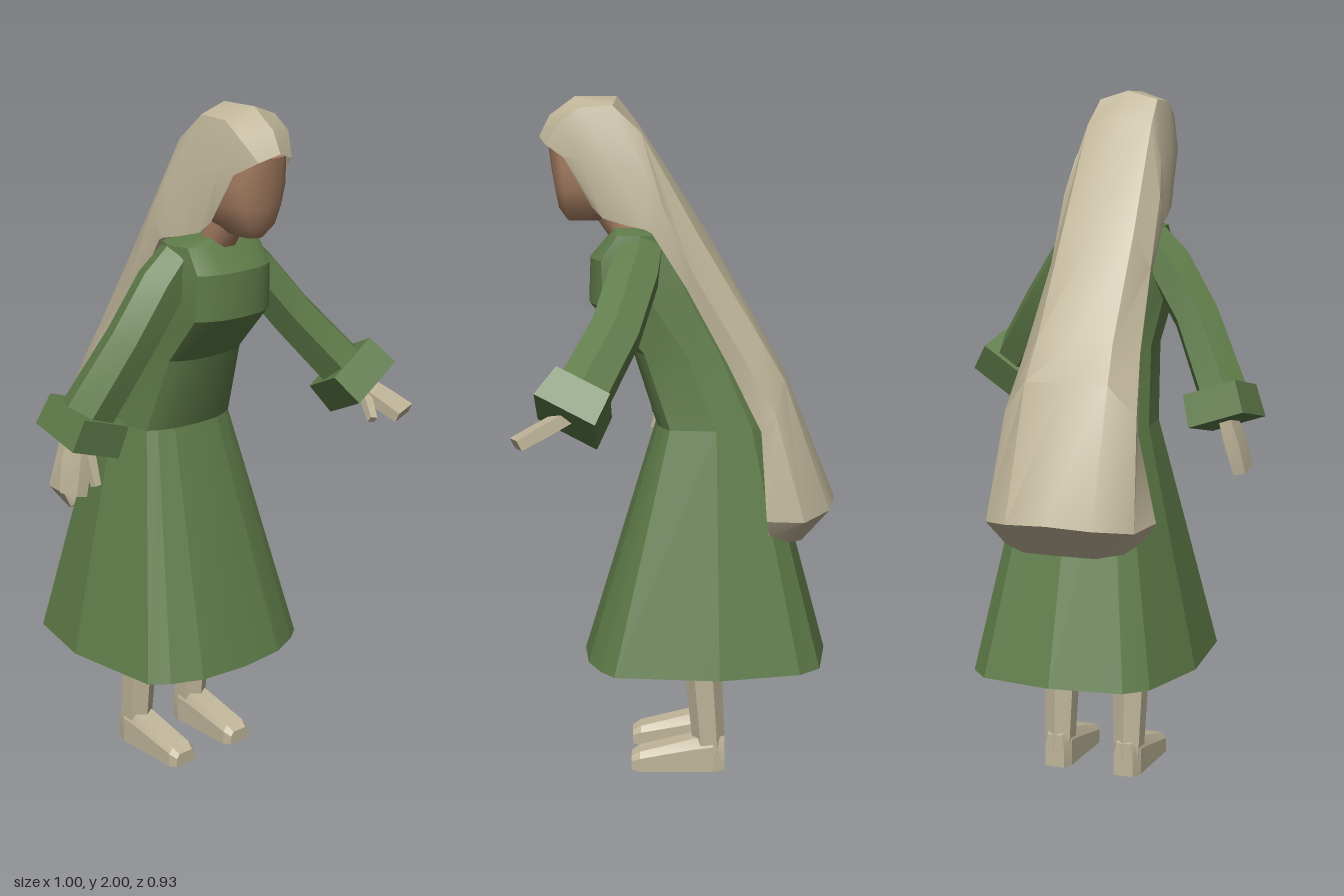
import * as THREE from 'three';
import { toCreasedNormals } from 'three/addons/utils/BufferGeometryUtils.js';

const CX = -0.03; // the body's middle plane
const V = (x, y, z) => new THREE.Vector3(x, y, z);

const mat = (name, color) => {
  const m = new THREE.MeshStandardMaterial({ color, side: THREE.DoubleSide });
  m.name = name;
  return m;
};

// Skin a list of rings (equal point counts); closed rings run counter-clockwise about the path.
function loft(rings, { closed = true, caps = [false, false], crease = 0.35 } = {}) {
  const pos = [];
  const tri = (...ps) => ps.forEach((p) => pos.push(p.x, p.y, p.z));
  const n = rings[0].length;
  for (let i = 0; i < rings.length - 1; i++) {
    for (let j = 0; j < (closed ? n : n - 1); j++) {
      const k = (j + 1) % n;
      const a = rings[i][j], b = rings[i][k], c = rings[i + 1][k], d = rings[i + 1][j];
      tri(a, b, c);
      tri(a, c, d);
    }
  }
  caps.forEach((on, end) => {
    if (!on) return;
    const r = rings[end ? rings.length - 1 : 0];
    const mid = r.reduce((s, p) => s.add(p), V(0, 0, 0)).divideScalar(n);
    r.forEach((p, j) => {
      const q = r[(j + 1) % n];
      if (end) tri(mid, p, q);
      else tri(mid, q, p);
    });
  });
  const g = new THREE.BufferGeometry();
  g.setAttribute('position', new THREE.Float32BufferAttribute(pos, 3));
  return toCreasedNormals(g, crease);
}

// Horizontal body outline: half width w, front zf, back zb.
const OUTLINE = [[0, 1], [0.46, 0.98], [0.74, 0.925], [0.9, 0.87], [1, 0.45], [0.83, 0.125], [0.65, 0.04], [0, 0]];
function bodyRing([y, w, zf, zb]) {
  const p = ([fx, fz], s) => V(CX + s * fx * w, y, zb + fz * (zf - zb));
  return [...OUTLINE.map((o) => p(o, 1)), ...OUTLINE.slice(1, -1).reverse().map((o) => p(o, -1))];
}

// Faceted limb: each station is [x, y, z, radius along hint, other radius].
function limb(stations, hint, sides = 6, crease = 0.35) {
  const pts = stations.map((s) => V(s[0], s[1], s[2]));
  const rings = stations.map((s, i) => {
    const t = pts[Math.min(i + 1, pts.length - 1)].clone().sub(pts[Math.max(i - 1, 0)]).normalize();
    const u = hint.clone().addScaledVector(t, -hint.dot(t)).normalize();
    const v = t.clone().cross(u);
    return Array.from({ length: sides }, (_, k) => {
      const a = ((k + 0.5) / sides) * Math.PI * 2;
      return pts[i].clone().addScaledVector(u, Math.cos(a) * s[3]).addScaledVector(v, Math.sin(a) * s[4]);
    });
  });
  return loft(rings, { caps: [true, true], crease });
}

export function createModel() {
  const root = new THREE.Group();
  root.name = 'robedWoman';
  const green = mat('green cloth', 0x5f7c49);
  const cream = mat('cream', 0xbfb599);
  const skin = mat('face skin', 0xa67e62);
  const add = (name, geo, material) => {
    const m = new THREE.Mesh(geo, material);
    m.name = name;
    root.add(m);
  };

  // Dress: open flared skirt, then the forward-leaning bodice
  add('skirt', loft([[0.345, 0.325, 0.285, -0.44], [1.05, 0.175, 0.07, -0.25]].map(bodyRing), { crease: 0.2 }), green);
  add('bodice', loft([
    [1.05, 0.175, 0.07, -0.25],
    [1.27, 0.15, 0.14, -0.15],
    [1.41, 0.155, 0.265, -0.08],
    [1.54, 0.15, 0.26, -0.01],
    [1.61, 0.145, 0.2, 0.04],
    [1.625, 0.08, 0.19, 0.07],
  ].map(bodyRing), { caps: [false, true] }), green);

  // Head and neck
  add('neck', limb([[CX, 1.57, 0.13, 0.05, 0.05], [CX, 1.72, 0.23, 0.05, 0.05]], V(1, 0, 0), 8, 0.9), skin);
  add('head', loft([
    [1.645, 0.03, 0.325, 0.22],
    [1.68, 0.065, 0.35, 0.16],
    [1.73, 0.085, 0.36, 0.13],
    [1.79, 0.095, 0.37, 0.11],
    [1.87, 0.085, 0.38, 0.12],
  ].map(bodyRing), { caps: [true, true], crease: 0.8 }), skin);

  // Long veil: arches from the face opening over the crown and down the back.
  // Each arch lists half of its points, from the lower front edge to the middle.
  const arches = [
    [[0.11, 1.69, 0.25], [0.1, 1.83, 0.33], [0.06, 1.865, 0.385], [0, 1.885, 0.405]],
    [[0.125, 1.66, 0.22], [0.12, 1.83, 0.29], [0.09, 1.93, 0.34], [0, 1.945, 0.375]],
    [[0.14, 1.64, 0.15], [0.13, 1.82, 0.2], [0.09, 1.97, 0.285], [0, 2, 0.3]],
    [[0.15, 1.63, 0.1], [0.135, 1.8, 0.1], [0.09, 1.975, 0.19], [0, 2, 0.18]],
    [[0.15, 1.62, 0.08], [0.15, 1.7, 0.05], [0.1, 1.9, 0.11], [0, 1.925, 0.12]],
    [[0.145, 1.46, -0.02], [0.155, 1.5, -0.04], [0.11, 1.6, -0.06], [0, 1.61, -0.08]],
    [[0.16, 1.24, -0.14], [0.175, 1.27, -0.18], [0.115, 1.3, -0.24], [0, 1.3, -0.255]],
    [[0.19, 1.05, -0.235], [0.2, 1.1, -0.275], [0.125, 1.19, -0.305], [0, 1.19, -0.315]],
    [[0.25, 0.8, -0.25], [0.225, 0.79, -0.36], [0.13, 0.805, -0.44], [0, 0.815, -0.465]],
    [[0.22, 0.75, -0.26], [0.18, 0.72, -0.32], [0.11, 0.71, -0.36], [0, 0.71, -0.365]],
    [[0.15, 0.76, -0.24], [0.13, 0.74, -0.26], [0.08, 0.74, -0.28], [0, 0.74, -0.28]],
  ].map((half) => [
    ...half.map(([x, y, z]) => V(CX - x, y, z)),
    ...half.slice(0, -1).reverse().map(([x, y, z]) => V(CX + x, y, z)),
  ]);
  add('veil', loft(arches, { closed: false, crease: 0.6 }), cream);

  // Arms: sleeve, square turned-back cuff, flat hand and thumb
  const Z = V(0, 0, 1);
  add('leftSleeve', limb([
    [0.07, 1.575, 0.11, 0.07, 0.055], [0.13, 1.5, 0.13, 0.08, 0.07],
    [0.24, 1.355, 0.18, 0.08, 0.07], [0.37, 1.18, 0.28, 0.085, 0.075],
  ], Z), green);
  add('leftCuff', limb([[0.355, 1.205, 0.265, 0.12, 0.12], [0.405, 1.13, 0.315, 0.135, 0.125]], Z, 4), green);
  add('leftHand', limb([
    [0.385, 1.15, 0.3, 0.045, 0.025], [0.415, 1.11, 0.38, 0.055, 0.025], [0.44, 1.075, 0.45, 0.06, 0.022],
  ], V(1, 0.1, -0.3), 4), cream);
  add('leftThumb', limb([[0.37, 1.12, 0.36, 0.02, 0.02], [0.335, 1.07, 0.425, 0.015, 0.015]], V(1, 0, 0), 4), cream);

  add('rightSleeve', limb([
    [-0.13, 1.575, 0.11, 0.07, 0.055], [-0.19, 1.5, 0.1, 0.08, 0.07],
    [-0.285, 1.35, 0.08, 0.08, 0.07], [-0.39, 1.14, 0.01, 0.085, 0.075],
  ], Z), green);
  add('rightCuff', limb([[-0.38, 1.15, 0.01, 0.125, 0.115], [-0.41, 1.06, -0.01, 0.135, 0.12]], Z, 4), green);
  add('rightHand', limb([
    [-0.405, 1.08, 0, 0.045, 0.025], [-0.43, 1, 0.01, 0.06, 0.03], [-0.45, 0.915, 0.02, 0.055, 0.025],
  ], Z, 4), cream);
  add('rightThumb', limb([[-0.415, 1.03, 0.05, 0.02, 0.02], [-0.415, 0.95, 0.08, 0.015, 0.015]], Z, 4), cream);

  // Legs and feet
  for (const [side, s] of [['left', 1], ['right', -1]]) {
    const x = CX + s * 0.11;
    add(side + 'Leg', limb([
      [x, 0.85, -0.04, 0.07, 0.07], [x, 0.34, -0.068, 0.055, 0.056], [x, 0.05, -0.09, 0.045, 0.048],
    ], V(1, 0, 0)), cream);
    // foot sections along z: z, half width, bottom, top
    const sections = [[-0.135, 0.03, 0, 0.1], [-0.1, 0.043, 0, 0.11], [-0.04, 0.043, 0, 0.1], [0.12, 0.045, 0, 0.06], [0.145, 0.035, 0.005, 0.045]];
    add(side + 'Foot', loft(sections.map(([z, w, b, t]) => [
      V(x - w, b, z), V(x + w, b, z), V(x + w, t * 0.7, z), V(x + w * 0.7, t, z), V(x - w * 0.7, t, z), V(x - w, t * 0.7, z),
    ]), { caps: [true, true] }), cream);
  }
  return root;
}
